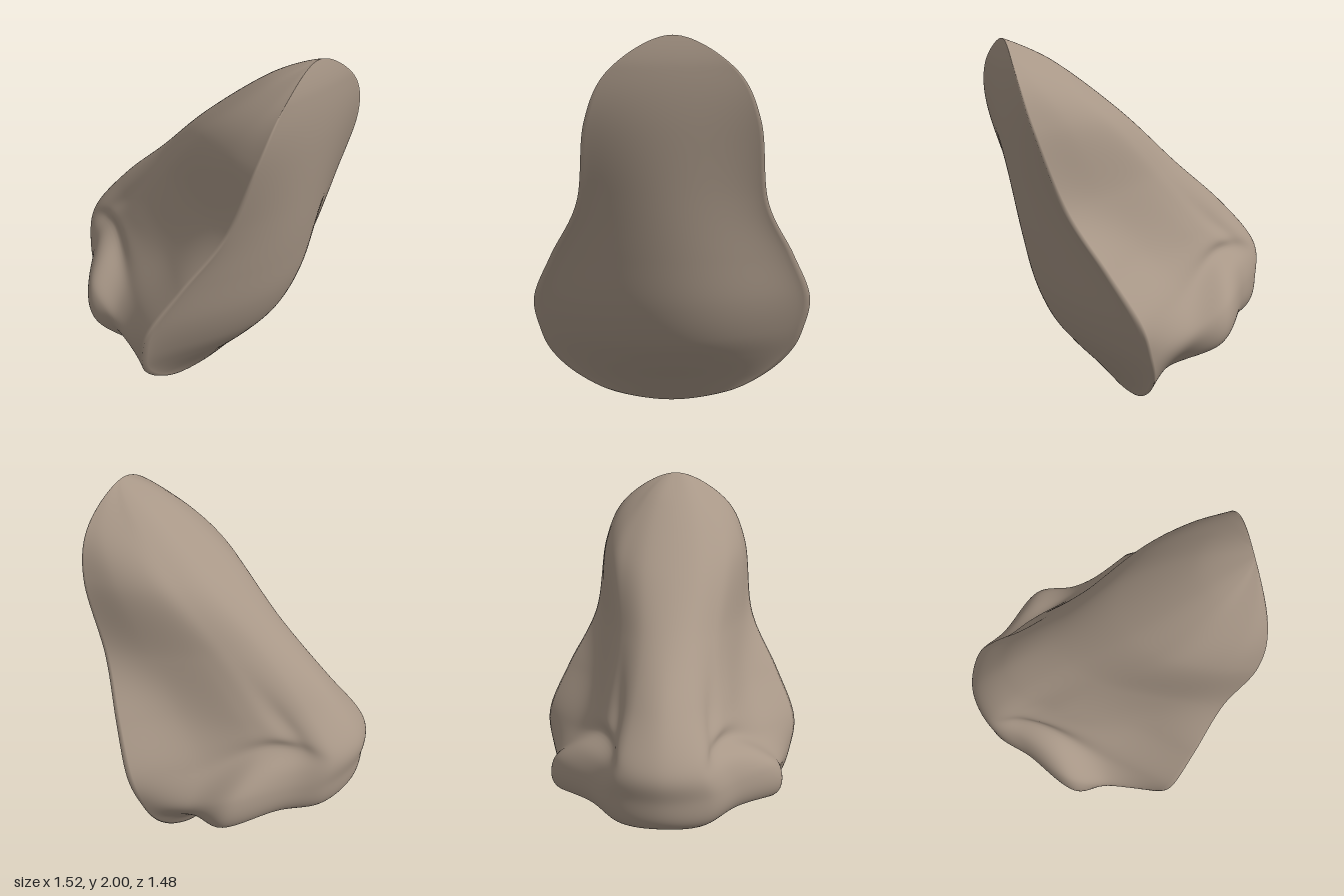
import * as THREE from 'three';
import { mergeVertices } from 'three/addons/utils/BufferGeometryUtils.js';

const V = (x, y, z = 0) => new THREE.Vector3(x, y, z);
const curve = (pts) => new THREE.CatmullRomCurve3(pts, false, 'catmullrom', 0.5);
const flip = ([x, y, z = 0]) => [x, y, -z];

// Guide line from the top pole to the bottom pole, one point per row;
// it runs on past each pole to the mirrored side so that the poles are round
const column = (...pts) => curve([flip(pts[0]), [0.71, 2], ...pts, [0.1, 0], flip(pts.at(-1))]
  .map((p) => V(...p)));

const profile = column([0.45, 1.88], [0.08, 1.6], [-0.25, 1.3], [-0.55, 1.04], [-0.745, 0.81],
  [-0.75, 0.64], [-0.7, 0.46], [-0.45, 0.33], [-0.13, 0.21]);
const ridge = column([0.475, 1.885, 0.09], [0.12, 1.61, 0.14], [-0.21, 1.295, 0.13], [-0.49, 1.03, 0.15],
  [-0.68, 0.81, 0.2], [-0.68, 0.63, 0.24], [-0.64, 0.45, 0.22], [-0.44, 0.34, 0.14], [-0.12, 0.21, 0.1]);
const wing = column([0.52, 1.88, 0.16], [0.21, 1.615, 0.25], [-0.09, 1.28, 0.24], [-0.35, 1.01, 0.25],
  [-0.52, 0.83, 0.28], [-0.52, 0.63, 0.38], [-0.47, 0.46, 0.39], [-0.34, 0.34, 0.26], [-0.08, 0.2, 0.14]);
const side = column([0.58, 1.87, 0.21], [0.32, 1.62, 0.33], [0.04, 1.26, 0.31], [-0.18, 1.0, 0.33],
  [-0.33, 0.82, 0.38], [-0.3, 0.62, 0.6], [-0.25, 0.42, 0.62], [-0.17, 0.31, 0.4], [-0.04, 0.19, 0.18]);
const cheek = column([0.66, 1.86, 0.26], [0.5, 1.61, 0.395], [0.3, 1.22, 0.4], [0.14, 0.94, 0.445],
  [-0.05, 0.7, 0.53], [-0.05, 0.5, 0.65], [-0.01, 0.34, 0.56], [0.02, 0.21, 0.4], [0.04, 0.12, 0.24]);
const rim = column([0.73, 1.85, 0.29], [0.695, 1.6, 0.42], [0.56, 1.2, 0.475], [0.405, 0.9, 0.63],
  [0.28, 0.65, 0.74], [0.21, 0.45, 0.72], [0.16, 0.3, 0.66], [0.13, 0.16, 0.52], [0.11, 0.05, 0.31]);
const back = column([0.735, 1.85], [0.725, 1.6], [0.665, 1.2], [0.61, 0.9], [0.55, 0.65],
  [0.465, 0.45], [0.355, 0.3], [0.23, 0.16], [0.14, 0.05]);

const ROWS = 140, FRONT = 140, BACK = 40, RING = FRONT + BACK;
const bump = (v, mid, width) => Math.exp(-(((v - mid) / width) ** 2));

function noseGeometry() {
  const pos = [], index = [];
  for (let i = 0; i <= ROWS; i++) {
    const row = (10 * i) / ROWS, t = (row + 1) / 12;
    const half = [rim, cheek, side, wing, ridge].map((c) => c.getPoint(t));
    const mirrored = half.map((p) => V(p.x, p.y, -p.z)).reverse();
    const section = curve([...half, profile.getPoint(t), ...mirrored]);
    // front: rim to rim over the bridge
    for (let j = 0; j < FRONT; j++) {
      const p = section.getPoint(j / FRONT);
      const col = Math.abs((j / FRONT) * 10 - 5);
      // nostril pressed up into the underside
      const d = ((row - 7.85) / 0.58) ** 2 + ((col - 2.35) / 0.75) ** 2;
      const dent = Math.exp(-d * d);
      // crease above the nostril wing, and a softer one beside the bridge
      const crease = 0.045 * bump(row, 5.05, 0.25) * bump(col, 2.7, 0.9)
        + 0.015 * bump(row, 4.3, 0.7) * bump(col, 2, 0.4);
      pos.push(p.x + 0.04 * dent, p.y + 0.2 * dent, p.z - Math.sign(p.z) * crease);
    }
    // back: bell-shaped bulge closing the ring from rim to rim
    const r = half[0], b = back.getPoint(t);
    for (let j = 0; j < BACK; j++) {
      const u = -1 + (2 * j) / BACK;
      pos.push(r.x + (b.x - r.x) * (1 - u * u) ** 1.5, r.y, u * r.z);
    }
  }
  for (let i = 0; i < ROWS; i++) {
    for (let j = 0; j < RING; j++) {
      const k = (j + 1) % RING;
      const a = i * RING + j, c = i * RING + k, d = a + RING, e = c + RING;
      if (i > 0) index.push(a, c, d);
      if (i < ROWS - 1) index.push(c, e, d);
    }
  }
  let geo = new THREE.BufferGeometry();
  geo.setAttribute('position', new THREE.Float32BufferAttribute(pos, 3));
  geo.setIndex(index);
  geo = mergeVertices(geo, 1e-5);
  geo.computeVertexNormals();
  return geo;
}

export function createModel() {
  const group = new THREE.Group();
  const nose = new THREE.Mesh(noseGeometry(), new THREE.MeshStandardMaterial({ color: 0xa89787 }));
  nose.name = 'nose';
  nose.rotation.y = 0.1; // slight turn to one side
  nose.position.z = 0.03;
  group.add(nose);
  return group;
}
